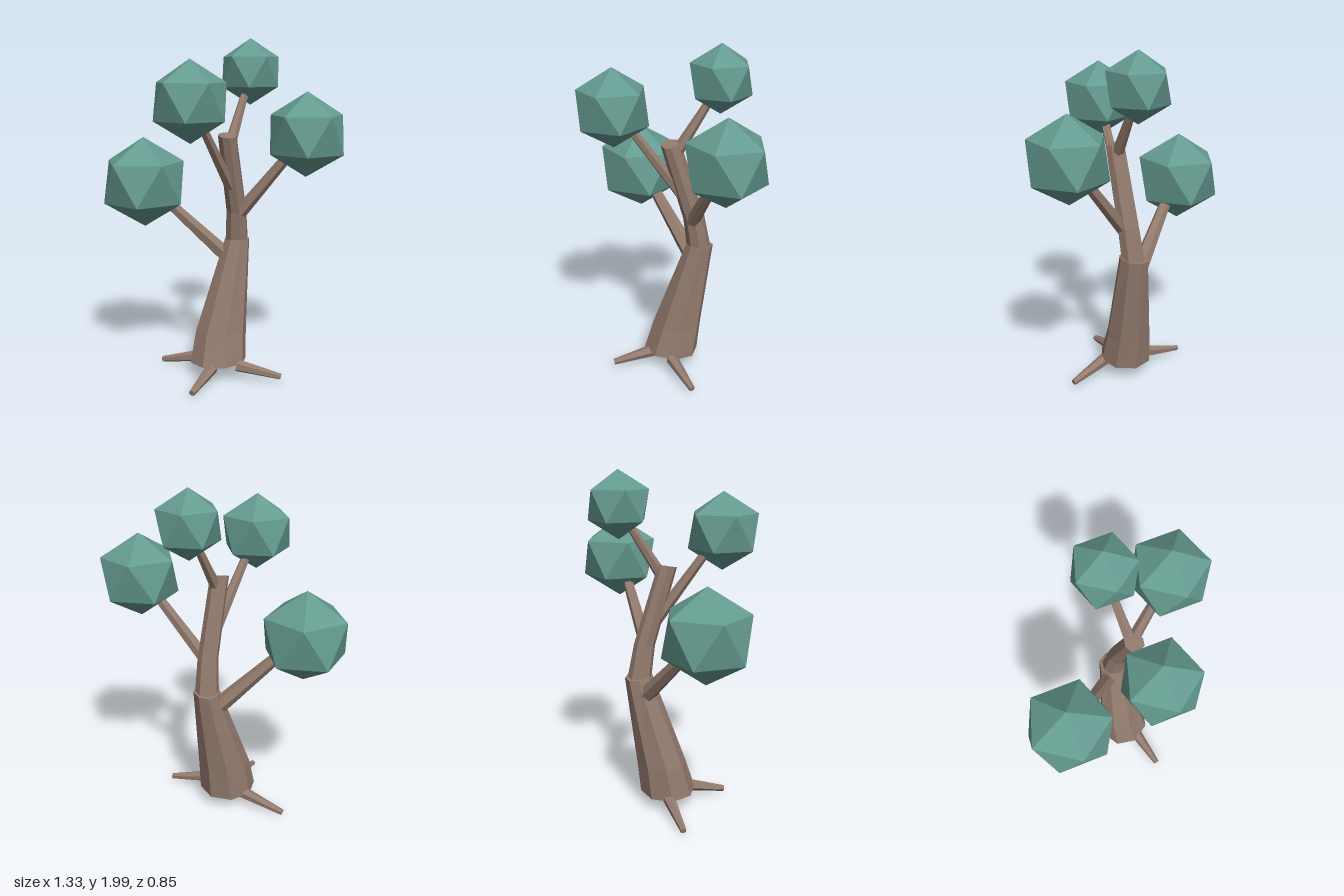
import * as THREE from 'three';

const bark = new THREE.MeshStandardMaterial({ color: 0x937b6e, flatShading: true });
const leaf = new THREE.MeshStandardMaterial({ color: 0x659b90, flatShading: true });

// Capped octagonal loft; each ring is [x, y, z, rx, rz, slope of y along z]
function loft(rings, sides = 8) {
  const pos = [], index = [];
  for (const [x, y, z, rx, rz, slope] of rings) {
    for (let i = 0; i < sides; i++) {
      const a = (i / sides) * Math.PI * 2;
      const dz = Math.cos(a) * rz;
      pos.push(x + Math.sin(a) * rx, y + slope * dz, z + dz);
    }
  }
  for (let r = 0; r < rings.length - 1; r++) {
    for (let i = 0; i < sides; i++) {
      const a = r * sides + i, b = r * sides + (i + 1) % sides;
      index.push(a, b, b + sides, a, b + sides, a + sides);
    }
  }
  const top = (rings.length - 1) * sides;
  for (let i = 1; i < sides - 1; i++) {
    index.push(0, i + 1, i, top, top + i, top + i + 1);
  }
  const g = new THREE.BufferGeometry();
  g.setAttribute('position', new THREE.Float32BufferAttribute(pos, 3));
  g.setIndex(index);
  const flat = g.toNonIndexed();
  flat.computeVertexNormals();
  return flat;
}

// Tapered limb between two points
function limb(name, from, to, r0, r1, sides) {
  const a = new THREE.Vector3(...from), b = new THREE.Vector3(...to);
  const dir = b.clone().sub(a);
  const mesh = new THREE.Mesh(new THREE.CylinderGeometry(r1, r0, dir.length(), sides), bark);
  mesh.position.copy(a).add(b).multiplyScalar(0.5);
  mesh.quaternion.setFromUnitVectors(new THREE.Vector3(0, 1, 0), dir.normalize());
  mesh.name = name;
  return mesh;
}

export function createModel() {
  const tree = new THREE.Group();
  tree.name = 'tree';
  const add = (name, geometry, material) => {
    const mesh = new THREE.Mesh(geometry, material);
    mesh.name = name;
    tree.add(mesh);
    return mesh;
  };

  // Trunk: wide leaning base and a narrower upper part leaning back the other way
  add('lowerTrunk', loft([
    [-0.03, 0.1, 0, 0.17, 0.157, 0.08],
    [-0.005, 0.285, -0.03, 0.155, 0.134, 0.05],
    [0.11, 0.825, -0.1, 0.076, 0.085, 0.12],
  ]), bark);
  add('upperTrunk', loft([
    [0.108, 0.8, -0.097, 0.07, 0.07, -0.1],
    [0.095, 1.01, -0.06, 0.06, 0.063, -0.15],
    [0.012, 1.462, 0.05, 0.054, 0.055, -0.22],
  ]), bark);

  // Branches
  const branches = [
    [[0.04, 0.73, -0.11], [-0.3, 1.06, -0.17], 0.05, 0.033],
    [[0.05, 1.15, -0.01], [-0.17, 1.55, 0.18], 0.036, 0.025],
    [[0.04, 1.42, 0.02], [0.16, 1.7, -0.11], 0.034, 0.022],
    [[0.11, 1.0, -0.03], [0.34, 1.32, 0.09], 0.04, 0.03],
  ];
  for (const [from, to, r0, r1] of branches) tree.add(limb('branch', from, to, r0, r1, 6));

  // Roots
  const roots = [
    [[-0.09, 0.1, 0.1], [-0.25, 0.045, 0.29]],
    [[0.06, 0.1, 0.1], [0.3, 0.05, 0.21]],
    [[-0.1, 0.1, -0.09], [-0.33, 0.03, -0.25]],
  ];
  for (const [from, to] of roots) tree.add(limb('root', from, to, 0.038, 0.018, 6));

  // Foliage: icosahedra standing on a corner
  const clumps = [
    [-0.43, 1.175, -0.2, 0.265],
    [-0.235, 1.66, 0.24, 0.22],
    [0.2, 1.81, -0.15, 0.19],
    [0.45, 1.465, 0.14, 0.24],
  ];
  const tilt = Math.atan(2 / (1 + Math.sqrt(5)));
  for (const [x, y, z, r] of clumps) {
    add('foliage', new THREE.IcosahedronGeometry(r, 0).rotateZ(-tilt), leaf).position.set(x, y, z);
  }
  return tree;
}
